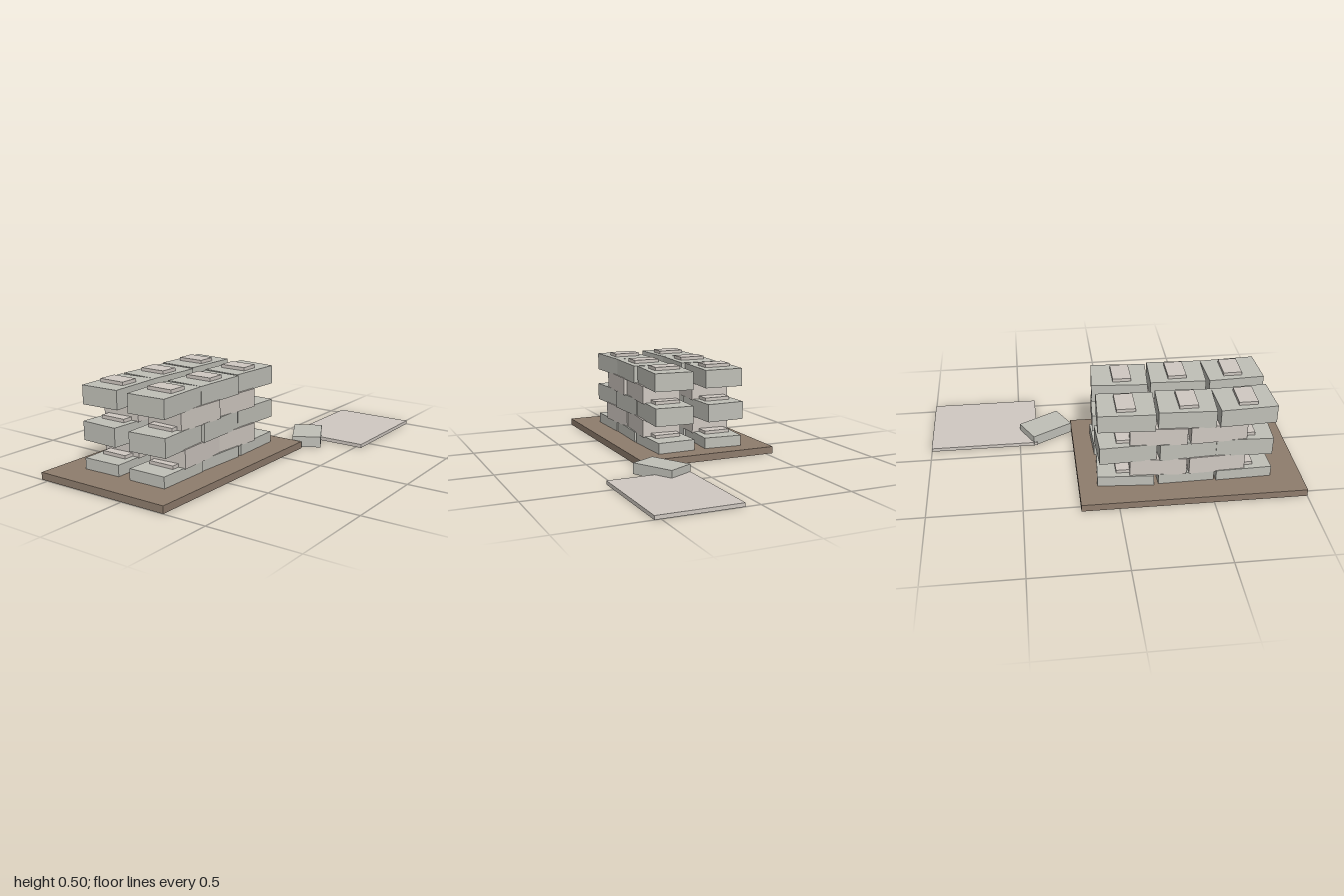
import * as THREE from 'three';

const stone = new THREE.MeshStandardMaterial({ color: 0xc0c0b8, flatShading: true });
const mortar = new THREE.MeshStandardMaterial({ color: 0xd0c9c2, flatShading: true });
const earth = new THREE.MeshStandardMaterial({ color: 0x8f7d6d, flatShading: true });

function box(parent, name, material, size, position, yaw = 0) {
  const mesh = new THREE.Mesh(new THREE.BoxGeometry(...size), material);
  mesh.name = name;
  mesh.position.set(...position);
  mesh.rotation.y = yaw;
  parent.add(mesh);
  return mesh;
}

// Each wall: centre line z, and the slight yaw of every brick, course by course
const WALLS = [
  {
    name: 'frontWall', z: 0.012, padX: [-0.67, -0.365, -0.065],
    yaws: [[0.01, -0.04, 0.03], [0.05, -0.08], [0.06, 0.03, -0.05], [-0.04, -0.08], [0.05, -0.04, -0.07]],
  },
  {
    name: 'backWall', z: -0.288, padX: [-0.685, -0.375, -0.05],
    yaws: [[0.03, 0.02, -0.07], [0.04, -0.05], [-0.04, 0.05, 0.04], [0.05, -0.07], [0.05, -0.05, -0.05]],
  },
];

const COURSE = 0.0955; // rise per course
const BRICK = [0.3, 0.1, 0.22];

function buildWall({ name, z, padX, yaws }) {
  const wall = new THREE.Group();
  wall.name = name;
  yaws.forEach((row, course) => {
    const full = row.length === 3;
    const xs = full ? [-0.68, -0.37, -0.055] : [-0.53, -0.225];
    const y = 0.05 + course * COURSE;
    row.forEach((yaw, i) => {
      box(wall, 'brick', full ? stone : mortar, BRICK, [xs[i], y, z], yaw);
      // Mortar pads sit on the three-brick courses
      if (full) box(wall, 'mortarPad', mortar, [0.1, 0.02, 0.15], [padX[i], y + 0.058, z]);
    });
  });
  return wall;
}

export function createModel() {
  const model = new THREE.Group();
  model.name = 'brickWalls';

  // Ground plate; its underside sits just above the brick bottoms
  box(model, 'groundPlate', earth, [1.2, 0.039, 0.8], [-0.4, 0.0205, -0.14]);

  WALLS.forEach((wall) => model.add(buildWall(wall)));

  // Loose slab and the stone resting at its corner
  box(model, 'slab', mortar, [0.6, 0.02, 0.45], [0.7, 0.01, 0.307]);
  box(model, 'looseStone', stone, [0.25, 0.06, 0.16], [0.348, 0.03, 0.21], 0.5);

  return model;
}
